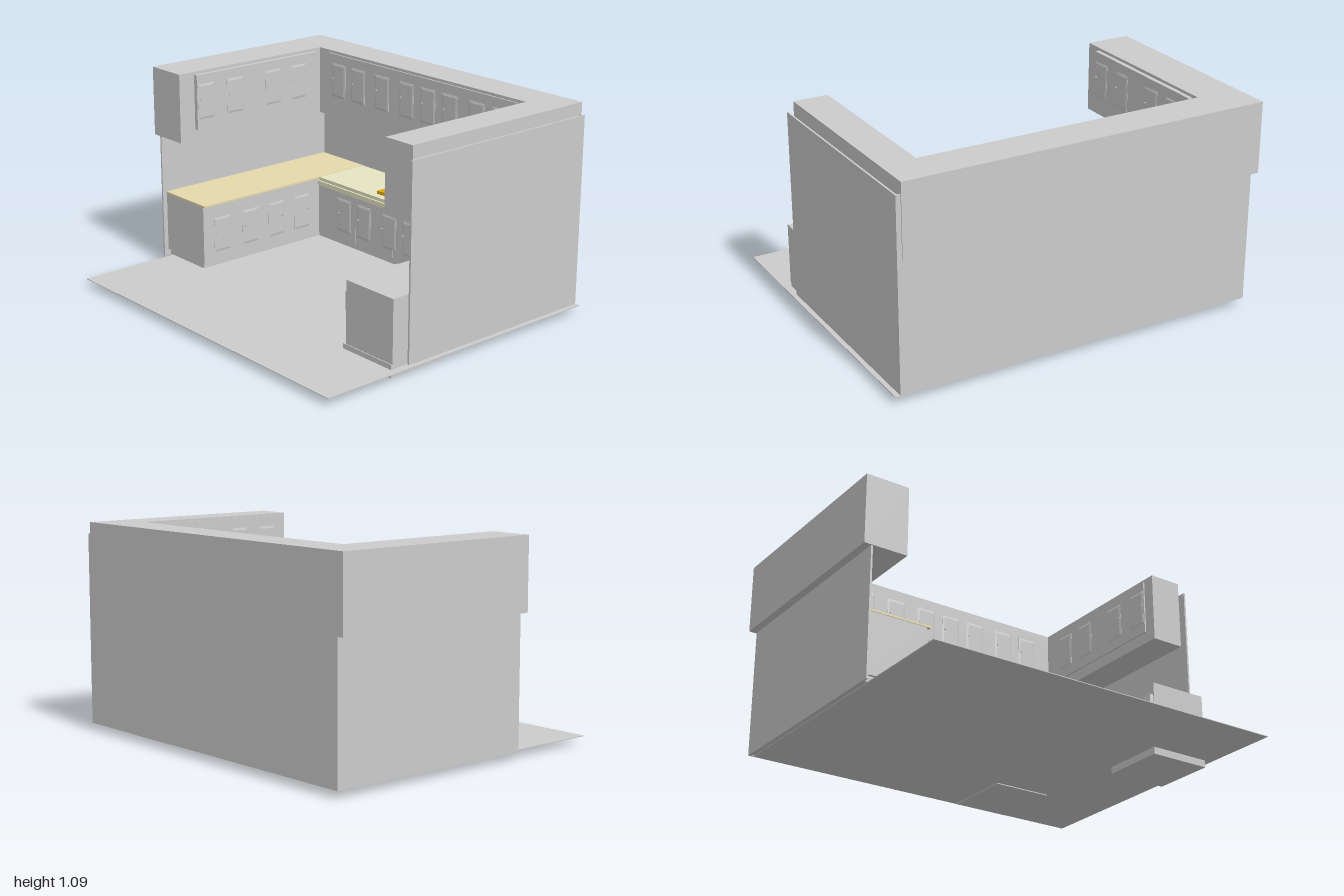
import * as THREE from 'three';

const mat = (color) => new THREE.MeshStandardMaterial({ color, side: THREE.DoubleSide });
const grey = mat(0xcccccc), tan = mat(0xe6d9ac), cream = mat(0xe6e6c4), yellow = mat(0xe0ab10);

function add(parent, name, geometry, material = grey) {
  const mesh = new THREE.Mesh(geometry, material);
  mesh.name = name;
  parent.add(mesh);
  return mesh;
}

// Box given by its limits on each axis
function box(parent, name, [x0, x1], [y0, y1], [z0, z1], material) {
  const mesh = add(parent, name, new THREE.BoxGeometry(x1 - x0, y1 - y0, z1 - z0), material);
  mesh.position.set((x0 + x1) / 2, (y0 + y1) / 2, (z0 + z1) / 2);
  return mesh;
}

// Raised door panel with sloping borders, facing +z
function panelGeometry(w, h) {
  const s = new THREE.Shape();
  s.moveTo(-w / 2, -h / 2);
  s.lineTo(w / 2, -h / 2);
  s.lineTo(w / 2, h / 2);
  s.lineTo(-w / 2, h / 2);
  s.closePath();
  return new THREE.ExtrudeGeometry(s, {
    depth: 0.001, bevelEnabled: true, bevelThickness: 0.003, bevelSize: 0.012, bevelOffset: -0.012, bevelSegments: 1,
  });
}

// Row of doors in a local frame: along x, facing +z
function doorRow(parent, name, panels, knobs, y, h, knobY) {
  const row = new THREE.Group();
  row.name = name;
  panels.forEach((x) => add(row, 'doorPanel', panelGeometry(0.11, h)).position.set(x, y, 0));
  knobs.forEach((x) => {
    const knob = add(row, 'knob', new THREE.CylinderGeometry(0.006, 0.004, 0.012, 10));
    knob.rotation.x = Math.PI / 2;
    knob.position.set(x, knobY, 0.006);
  });
  parent.add(row);
  return row;
}

function buildRoom(g) {
  box(g, 'floor', [-0.93, 1], [0.04, 0.044], [-0.835, 0.835]);
  box(g, 'backWall', [-0.96, 0.975], [0.04, 1.03], [-0.835, -0.825]);
  box(g, 'leftWall', [-0.96, -0.95], [0.04, 1.03], [-0.835, 0.32]);
  box(g, 'rightWall', [0.965, 0.975], [0.04, 1.03], [-0.835, 0.32]);
}

function buildUppers(g) {
  const y = [0.72, 1.09];
  box(g, 'upperCabinetBack', [-1, 0.95], y, [-0.84, -0.635]);
  box(g, 'upperCabinetLeft', [-1, -0.765], y, [-0.64, 0.325]);
  box(g, 'upperCabinetRight', [0.77, 0.95], y, [-0.64, 0.295]);

  // Door fronts laid over the carcasses
  const fy = [0.78, 1.075];
  box(g, 'upperFrontBack', [-0.69, 0.715], fy, [-0.635, -0.627]);
  box(g, 'upperFrontLeft', [-0.765, -0.742], fy, [-0.59, 0.23]);
  box(g, 'upperFrontRight', [0.762, 0.77], fy, [-0.59, 0.23]);

  doorRow(g, 'upperDoorsBack', [-0.6, -0.44, -0.25, -0.06, 0.1, 0.26, 0.45, 0.61],
    [-0.64, -0.48, -0.29, -0.1, 0.06, 0.22, 0.41, 0.57], 0.93, 0.19, 0.94).position.z = -0.627;
  const sidePanels = [-0.46, -0.28, -0.02, 0.17], sideKnobs = [-0.42, -0.24, 0.02, 0.21];
  const left = doorRow(g, 'upperDoorsLeft', sidePanels.map((z) => -z), sideKnobs.map((z) => -z), 0.93, 0.19, 0.94);
  left.rotation.y = Math.PI / 2;
  left.position.x = -0.742;
  const right = doorRow(g, 'upperDoorsRight', sidePanels, sideKnobs, 0.93, 0.19, 0.94);
  right.rotation.y = -Math.PI / 2;
  right.position.x = 0.762;
}

function buildLowers(g) {
  // Left run
  box(g, 'lowerCabinetLeft', [-0.95, -0.625], [0.075, 0.395], [-0.825, 0.295]);
  box(g, 'toeKickLeft', [-0.95, -0.65], [0.044, 0.075], [-0.825, 0.28]);
  box(g, 'worktopLeft', [-0.953, -0.61], [0.395, 0.405], [-0.825, 0.298], tan);
  const left = doorRow(g, 'lowerDoorsLeft', [-0.17, 0.02, 0.2, 0.38], [-0.21, -0.02, 0.24, 0.42], 0.225, 0.19, 0.235);
  left.rotation.y = Math.PI / 2;
  left.position.x = -0.625;

  // Back run
  box(g, 'lowerCabinetBack', [-0.625, 0.285], [0.075, 0.385], [-0.825, -0.505]);
  box(g, 'toeKickBack', [-0.65, 0.285], [0.044, 0.075], [-0.825, -0.53]);
  box(g, 'worktopBack', [-0.61, 0.285], [0.385, 0.403], [-0.825, -0.497], cream);
  box(g, 'worktopLip', [-0.615, 0.285], [0.36, 0.385], [-0.51, -0.487], cream);
  [-0.32, -0.02, 0.19].forEach((x) => box(g, 'doorSeam', [x - 0.002, x + 0.002], [0.09, 0.35], [-0.506, -0.503]));
  doorRow(g, 'lowerDoorsBack', [-0.41, -0.25, -0.05, 0.11], [-0.45, -0.29, -0.1, 0.06], 0.225, 0.19, 0.235).position.z = -0.505;

  // Right run with corner filler
  box(g, 'cornerCabinet', [0.605, 0.655], [0.044, 0.39], [-0.825, -0.5]);
  box(g, 'lowerCabinetRight', [0.66, 0.965], [0.075, 0.375], [-0.825, 0.08]);
  box(g, 'toeKickRight', [0.69, 0.965], [0.044, 0.075], [-0.825, 0.08]);
  const right = doorRow(g, 'lowerDoorsRight', [-0.34, -0.18, -0.02], [-0.38, -0.14, -0.06], 0.225, 0.19, 0.235);
  right.rotation.y = -Math.PI / 2;
  right.position.x = 0.66;

  // Right worktop, cut out for the basin (shape y runs along -z)
  const top = new THREE.Shape([[0.65, 0.825], [0.65, -0.08], [0.965, -0.08], [0.965, 0.825]].map((p) => new THREE.Vector2(...p)));
  top.holes.push(new THREE.Path([[0.71, 0.25], [0.89, 0.25], [0.89, 0.48], [0.71, 0.48]].map((p) => new THREE.Vector2(...p))));
  const slab = add(g, 'worktopRight', new THREE.ExtrudeGeometry(top, { depth: 0.018, bevelEnabled: false }));
  slab.rotation.x = -Math.PI / 2;
  slab.position.y = 0.375;
  box(g, 'sinkBottom', [0.71, 0.89], [0.376, 0.379], [-0.48, -0.25]);
}

function buildStove(g) {
  const x = [0.285, 0.605];
  box(g, 'stoveBody', x, [0.035, 0.4], [-0.825, -0.44]);
  box(g, 'stoveBackPanel', x, [0.4, 0.485], [-0.825, -0.63]);
  box(g, 'ovenDoor', [0.29, 0.6], [0.105, 0.3], [-0.44, -0.428]);
  box(g, 'stoveDrawer', [0.29, 0.6], [0.045, 0.095], [-0.44, -0.43]);

  // Sloping control panel, profile in z and y, swept along x
  const profile = new THREE.Shape([[0.44, 0.32], [0.405, 0.33], [0.42, 0.385], [0.44, 0.4]].map((p) => new THREE.Vector2(...p)));
  const panel = add(g, 'controlPanel', new THREE.ExtrudeGeometry(profile, { depth: 0.32, bevelEnabled: false }));
  panel.rotation.y = Math.PI / 2;
  panel.position.x = 0.285;
  [0.36, 0.39, 0.42, 0.45, 0.53, 0.56].forEach((kx) => {
    const knob = add(g, 'stoveKnob', new THREE.CylinderGeometry(0.01, 0.01, 0.014, 14));
    knob.rotation.x = Math.PI / 2 - 0.25;
    knob.position.set(kx, 0.36, -0.41);
  });
  const rail = add(g, 'ovenHandle', new THREE.CylinderGeometry(0.008, 0.008, 0.29, 12));
  rail.rotation.z = Math.PI / 2;
  rail.position.set(0.445, 0.312, -0.408);
  [0.33, 0.56].forEach((hx) => box(g, 'handlePost', [hx - 0.006, hx + 0.006], [0.306, 0.318], [-0.44, -0.408]));
  [0.37, 0.52].forEach((bx) => [-0.59, -0.51].forEach((bz) => {
    add(g, 'burner', new THREE.CylinderGeometry(0.032, 0.035, 0.006, 20)).position.set(bx, 0.403, bz);
  }));
}

function buildDishwasher(g) {
  box(g, 'dishwasherBody', [0.645, 0.965], [0.07, 0.393], [0.08, 0.415]);
  box(g, 'dishwasherBase', [0.63, 0.96], [0.003, 0.07], [0.08, 0.42]);
  // Bowed door, narrowing toward the bottom
  const s = new THREE.Shape();
  s.moveTo(0.645, -0.41);
  s.lineTo(0.627, -0.405);
  s.quadraticCurveTo(0.597, -0.24, 0.627, -0.08);
  s.lineTo(0.645, -0.075);
  s.closePath();
  const geo = new THREE.ExtrudeGeometry(s, { depth: 0.25, bevelEnabled: false, curveSegments: 16 });
  const p = geo.attributes.position;
  for (let i = 0; i < p.count; i++) if (p.getZ(i) < 0.1) p.setX(i, 0.645 + (p.getX(i) - 0.645) * 0.55);
  geo.computeVertexNormals();
  const door = add(g, 'dishwasherDoor', geo);
  door.rotation.x = -Math.PI / 2;
  door.position.y = 0.08;
  const curve = new THREE.QuadraticBezierCurve3(
    new THREE.Vector3(0.63, 0.295, 0.12), new THREE.Vector3(0.57, 0.295, 0.245), new THREE.Vector3(0.63, 0.295, 0.37));
  add(g, 'dishwasherHandle', new THREE.TubeGeometry(curve, 16, 0.012, 8));
}

function buildItems(g) {
  // Slightly skewed chopping board
  const s = new THREE.Shape([[-0.18, 0.625], [-0.18, 0.535], [0.07, 0.553], [0.065, 0.625]].map((p) => new THREE.Vector2(...p)));
  const board = add(g, 'choppingBoard', new THREE.ExtrudeGeometry(s, { depth: 0.018, bevelEnabled: false }), yellow);
  board.rotation.x = -Math.PI / 2;
  board.position.y = 0.404;

  // Domed bread bin with a front tray
  const dome = new THREE.Shape();
  dome.moveTo(0.77, 0.393);
  dome.lineTo(0.77, 0.43);
  dome.quadraticCurveTo(0.79, 0.505, 0.84, 0.505);
  dome.quadraticCurveTo(0.91, 0.505, 0.93, 0.393);
  dome.closePath();
  add(g, 'breadBin', new THREE.ExtrudeGeometry(dome, { depth: 0.15, bevelEnabled: false })).position.z = -0.18;
  box(g, 'breadBinTray', [0.725, 0.78], [0.393, 0.403], [-0.18, -0.03]);
  box(g, 'breadBinLip', [0.755, 0.78], [0.435, 0.455], [-0.045, -0.02]);
}

export function createModel() {
  const group = new THREE.Group();
  group.name = 'kitchen';
  [buildRoom, buildUppers, buildLowers, buildStove, buildDishwasher, buildItems].forEach((build) => build(group));
  return group;
}
